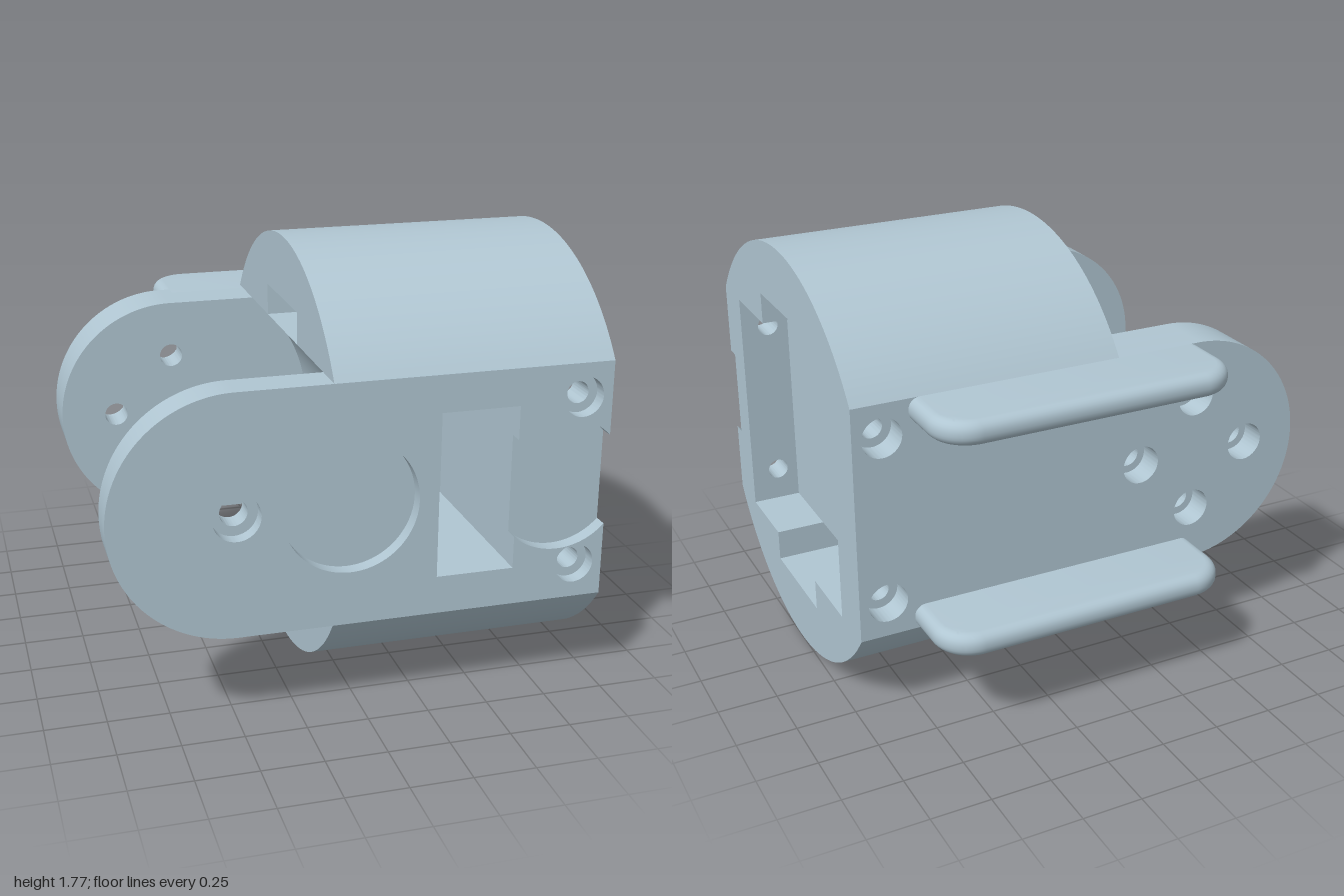
import * as THREE from 'three';
import { toCreasedNormals } from 'three/addons/utils/BufferGeometryUtils.js';

const CY = 0.8875;          // height of the bracket axis
const HALF = 0.4945;        // half height of the plates
const PIVOT = -0.504;       // x of the pivot axis
const FRONT = 0.93, BACK = -0.61, LEFT = -0.13, FLOOR = 0.79;

const steel = new THREE.MeshStandardMaterial({ color: 0xb0c6d2 });
steel.name = 'paleSteelBlue';

export function createModel() {
  const group = new THREE.Group();

  const add = (name, geometry) => {
    const mesh = new THREE.Mesh(toCreasedNormals(geometry, 0.5), steel);
    mesh.name = name;
    group.add(mesh);
  };

  // Slab of an xy outline between two z values
  const slab = (name, shape, holes, z0, z1) => {
    shape.holes.push(...holes);
    const geo = new THREE.ExtrudeGeometry(shape, { depth: z1 - z0, bevelEnabled: false, curveSegments: 40 });
    add(name, geo.translate(0, 0, z0));
  };

  const circle = (x, y, r) => new THREE.Path().absarc(x, y, r, 0, Math.PI * 2, true);
  const screwHoles = (r) => [-1, 1].map((s) => circle(0.88, CY + 0.0035 + s * 0.3525, r));
  const hornHoles = (r) => [0, 1, 2, 3].map((i) => {
    const a = i * Math.PI / 2;
    return circle(PIVOT + 0.255 * Math.cos(a), CY + 0.255 * Math.sin(a), r);
  });
  const WIN = { x0: 0.295, x1: 0.615, y0: 0.55, y1: 1.23 };
  const windowHole = () => new THREE.Path().setFromPoints([
    [WIN.x0, WIN.y0], [WIN.x0, WIN.y1], [WIN.x1, WIN.y1], [WIN.x1, WIN.y0],
  ].map((p) => new THREE.Vector2(...p))).closePath();

  // Plate outline with a round left end
  const plate = (right) => {
    const s = new THREE.Shape();
    s.moveTo(right, CY - HALF);
    s.lineTo(right, CY + HALF);
    s.lineTo(PIVOT, CY + HALF);
    s.absarc(PIVOT, CY, HALF, Math.PI / 2, Math.PI * 1.5, false);
    s.closePath();
    return s;
  };

  // Front skin outline: a round recess joins the window to the right edge
  const frontSkin = () => {
    const s = new THREE.Shape();
    const cx = 0.8, r = 0.275;
    const aEdge = Math.acos((1 - cx) / r), aWin = Math.acos((WIN.x1 - cx) / r);
    s.moveTo(PIVOT, CY - HALF);
    s.lineTo(1, CY - HALF);
    s.absarc(cx, CY, r, -aEdge, -aWin, true);
    s.lineTo(WIN.x1, WIN.y0);
    s.lineTo(WIN.x0, WIN.y0);
    s.lineTo(WIN.x0, WIN.y1);
    s.lineTo(WIN.x1, WIN.y1);
    s.absarc(cx, CY, r, aWin, aEdge, true);
    s.lineTo(1, CY + HALF);
    s.lineTo(PIVOT, CY + HALF);
    s.absarc(PIVOT, CY, HALF, Math.PI / 2, Math.PI * 1.5, false);
    return s;
  };

  // Core outline with a concave left side that clears the pivoting part
  const core = (right) => {
    const s = new THREE.Shape();
    const a = Math.atan2(HALF, LEFT - PIVOT), r = Math.hypot(HALF, LEFT - PIVOT);
    s.moveTo(right, CY - HALF);
    s.lineTo(right, CY + HALF);
    s.lineTo(LEFT, CY + HALF);
    s.absarc(PIVOT, CY, r, a, -a, true);
    s.closePath();
    return s;
  };

  // Back plate: counterbored outside, narrow holes inside
  slab('backPlateOuter', plate(1), [...screwHoles(0.082), ...hornHoles(0.082)], BACK, -0.5);
  slab('backPlateInner', plate(1), [...screwHoles(0.045), ...hornHoles(0.05)], -0.5, -0.4);
  slab('backPlateLip', plate(FLOOR), hornHoles(0.05), -0.4, -0.37);

  // Solid core, with the window pocket in its front half
  slab('coreBack', core(FLOOR), [], -0.37, 0.1);
  slab('coreFront', core(FLOOR), [windowHole()], 0.1, 0.73);
  slab('coreFrontWall', core(1), [windowHole(), ...screwHoles(0.045)], 0.73, 0.78);

  // Front plate: narrow holes behind, recesses and counterbores in the skin
  slab('frontPlate', plate(1), [windowHole(), ...screwHoles(0.045), circle(PIVOT, CY, 0.055)], 0.78, 0.87);
  slab('frontPlateSkin', frontSkin(),
    [...screwHoles(0.082), circle(PIVOT, CY, 0.095), circle(-0.058, CY, 0.274)], 0.87, FRONT);

  // Curved caps above and below, each with a cable slot along its flat side
  for (const side of [1, -1]) {
    const half = 0.77, rise = CY - HALF;
    const r = (half * half + rise * rise) / (2 * rise);
    const centre = CY - r, a0 = Math.asin(half / r);
    const pts = [[-half - 0.16, HALF], [-0.4, HALF], [-0.4, 0.627], [0.08, 0.627], [0.08, HALF]];
    for (let i = 0; i <= 48; i++) {
      const a = a0 * (1 - i / 24);
      pts.push([-0.16 + r * Math.sin(a), centre + r * Math.cos(a)]);
    }
    pts.pop();
    const shape = new THREE.Shape(pts.map(([u, v]) => new THREE.Vector2(u, CY + side * v)));
    const geo = new THREE.ExtrudeGeometry(shape, { depth: 1 - LEFT, bevelEnabled: false });
    add(side > 0 ? 'topCap' : 'bottomCap', geo.rotateY(Math.PI / 2).translate(LEFT, 0, 0));
  }

  // Rounded rails on the back
  const b = 0.045, c = 0.115, x0 = -0.505 + b, x1 = 0.77 - b, tip = 0.93 - b;
  for (const [name, y] of [['upperRail', 1.282], ['lowerRail', 0.394]]) {
    const s = new THREE.Shape();
    s.moveTo(x0, 0.55);
    s.lineTo(x1, 0.55);
    s.lineTo(x1, tip - c);
    s.absarc(x1 - c, tip - c, c, 0, Math.PI / 2, false);
    s.lineTo(x0 + c, tip);
    s.absarc(x0 + c, tip - c, c, Math.PI / 2, Math.PI, false);
    s.closePath();
    const geo = new THREE.ExtrudeGeometry(s, {
      depth: 0.01, bevelThickness: b, bevelSize: b, bevelSegments: 6, curveSegments: 12,
    });
    add(name, geo.rotateX(-Math.PI / 2).translate(0, y + b, 0));
  }

  return group;
}
